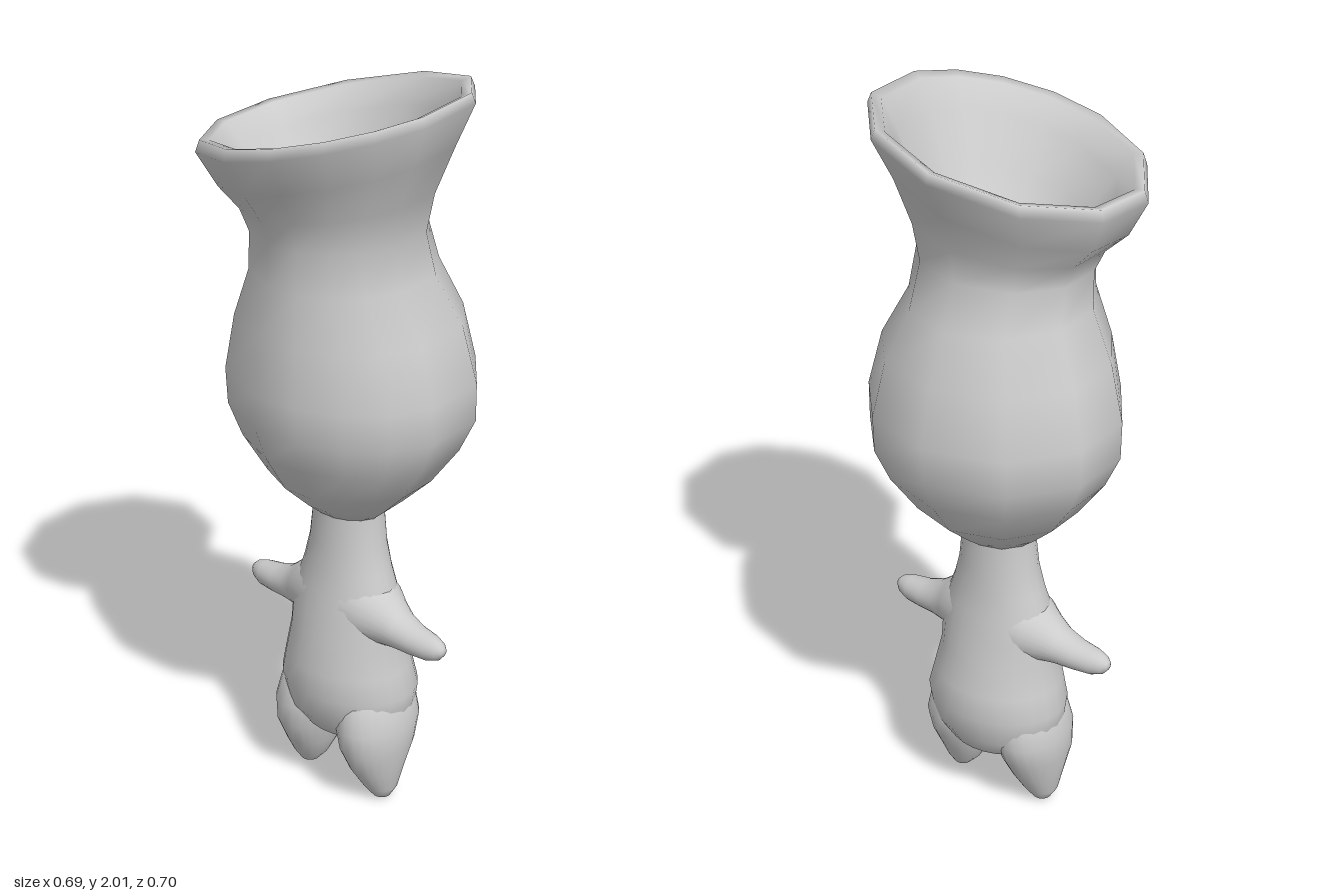
import * as THREE from 'three';
import { mergeVertices } from 'three/addons/utils/BufferGeometryUtils.js';

const material = new THREE.MeshStandardMaterial({ color: 0xcccccc });

// Skin a stack of elliptical rings: [y, centreX, centreZ, radiusX, radiusZ, tilt].
function loft(rows, angles) {
  const n = angles.length, pos = [], index = [];
  for (const [y, cx, cz, rx, rz, tilt = 0] of rows) {
    for (const a of angles) {
      const x = cx + rx * Math.sin(a), z = cz - rz * Math.cos(a);
      pos.push(x, y + tilt * (0.22 * x - 0.08 * z), z);
    }
  }
  for (let i = 0; i < rows.length - 1; i++) {
    for (let j = 0; j < n; j++) {
      const a = i * n + j, b = i * n + (j + 1) % n;
      index.push(a, a + n, b, a + n, b + n, b);
    }
  }
  const raw = new THREE.BufferGeometry();
  raw.setAttribute('position', new THREE.Float32BufferAttribute(pos, 3));
  raw.setIndex(index);
  const geo = mergeVertices(raw, 1e-5);
  geo.computeVertexNormals();
  return geo;
}

function part(name, geometry) {
  const mesh = new THREE.Mesh(geometry, material);
  mesh.name = name;
  return mesh;
}

export function createModel() {
  const group = new THREE.Group();
  group.name = 'potHeadedFigure';
  const round = Array.from({ length: 24 }, (_, i) => i * Math.PI / 12);
  // uneven facets around the head
  const facets = [0, 35, 68, 103, 124, 144, 166, 189, 221, 256, 288, 323]
    .map(THREE.MathUtils.degToRad);

  // Head: bulb, waist, flared tilted rim, then the hollow inside
  group.add(part('head', loft([
    [0.83, 0, -0.03, 0, 0],
    [0.838, 0, -0.03, 0.1, 0.085],
    [0.88, 0, -0.03, 0.15, 0.135],
    [0.95, 0, -0.032, 0.225, 0.21],
    [1.05, 0, -0.037, 0.298, 0.272],
    [1.14, 0, -0.04, 0.34, 0.306],
    [1.24, 0, -0.038, 0.34, 0.312],
    [1.39, 0, -0.03, 0.303, 0.286],
    [1.52, 0, -0.01, 0.237, 0.245],
    [1.63, 0, 0.01, 0.228, 0.22, 0.2],
    [1.71, 0, 0.014, 0.253, 0.236, 0.6],
    [1.8, 0, 0.02, 0.31, 0.275, 1],
    [1.9, 0, 0.02, 0.355, 0.333, 1],
    [1.928, 0, 0.02, 0.345, 0.322, 1],
    [1.922, 0, 0.02, 0.32, 0.298, 1],
    [1.86, 0, 0.015, 0.28, 0.258, 1],
    [1.75, 0, 0, 0.215, 0.2, 0.8],
    [1.65, 0, -0.01, 0.15, 0.14, 0.4],
    [1.6, 0, -0.02, 0.08, 0.075],
    [1.59, 0, -0.02, 0, 0],
  ], facets)));

  // Torso and neck
  group.add(part('torso', loft([
    [0.165, 0, -0.03, 0, 0],
    [0.17, 0, -0.03, 0.06, 0.06],
    [0.195, 0, -0.035, 0.14, 0.115],
    [0.25, 0, -0.03, 0.193, 0.148],
    [0.33, 0, -0.03, 0.2, 0.165],
    [0.4, 0, -0.026, 0.183, 0.155],
    [0.48, 0, -0.022, 0.166, 0.137],
    [0.56, 0, -0.022, 0.165, 0.122],
    [0.62, 0, -0.022, 0.152, 0.108],
    [0.68, 0, -0.023, 0.13, 0.098],
    [0.75, 0, -0.024, 0.112, 0.09],
    [0.84, 0, -0.025, 0.102, 0.085],
    [0.89, 0, -0.025, 0.1, 0.085],
  ], round)));

  for (const [side, s] of [['left', 1], ['right', -1]]) {
    // Tapered leg with a rounded tip
    group.add(part(side + 'Leg', loft([
      [0, 0.135, -0.012, 0, 0],
      [0.008, 0.135, -0.012, 0.026, 0.025],
      [0.04, 0.13, -0.011, 0.05, 0.047],
      [0.1, 0.12, -0.01, 0.071, 0.082],
      [0.17, 0.117, -0.012, 0.088, 0.117],
      [0.24, 0.111, -0.02, 0.096, 0.133],
      [0.33, 0.1, -0.025, 0.085, 0.12],
      [0.42, 0.09, -0.025, 0, 0],
    ].map(([y, cx, ...rest]) => [y, cx * s, ...rest]), round)));

    // Stubby arm, lofted outwards from the shoulder: [reach, height, z, radii]
    const arm = loft([
      [0.06, 0.575, -0.02, 0.12, 0.105],
      [0.12, 0.57, -0.02, 0.088, 0.088],
      [0.16, 0.557, -0.019, 0.068, 0.066],
      [0.2, 0.543, -0.017, 0.05, 0.053],
      [0.25, 0.534, -0.016, 0.041, 0.044],
      [0.3, 0.532, -0.015, 0.036, 0.036],
      [0.33, 0.533, -0.015, 0.026, 0.024],
      [0.343, 0.535, -0.015, 0.012, 0.012],
      [0.346, 0.535, -0.015, 0, 0],
    ].map(([reach, h, ...rest]) => [reach, -h * s, ...rest]), round);
    arm.rotateZ(-s * Math.PI / 2);
    group.add(part(side + 'Arm', arm));
  }
  return group;
}
